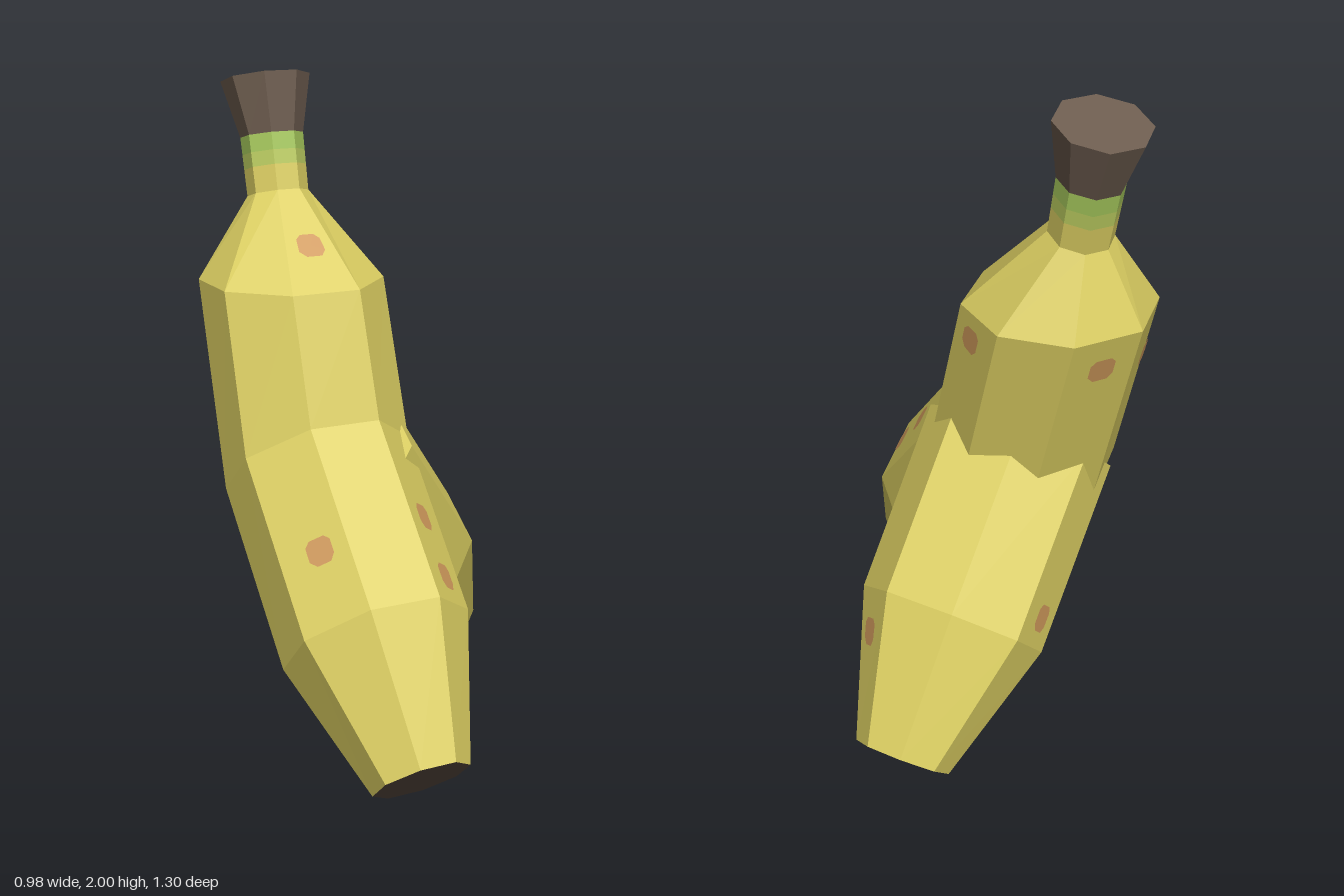
import * as THREE from 'three';

const mat = (name, color) => {
  const m = new THREE.MeshStandardMaterial({ color, flatShading: true });
  m.name = name;
  return m;
};

// Octagonal ring, given by its front and back points as [z, y]
const ring = (fz, fy, bz, by) => ({ f: new THREE.Vector2(fz, fy), b: new THREE.Vector2(bz, by) });
const mix = (p, q, t) => ({ f: p.f.clone().lerp(q.f, t), b: p.b.clone().lerp(q.b, t) });

// Corner k lies between face k - 1 and face k; face 0 is the front, face 2 is +x
function corner(r, k) {
  const a = (k - 0.5) * Math.PI / 4;
  const c = r.f.clone().add(r.b).multiplyScalar(0.5);
  const half = r.f.clone().sub(r.b).multiplyScalar(0.5);
  const s = 1 / Math.cos(Math.PI / 8);
  return new THREE.Vector3(Math.sin(a) * s * half.length(),
    c.y + half.y * Math.cos(a) * s, c.x + half.x * Math.cos(a) * s);
}

function meshFrom(points, material, name) {
  const g = new THREE.BufferGeometry().setFromPoints(points);
  g.computeVertexNormals();
  const m = new THREE.Mesh(g, material);
  m.name = name;
  return m;
}

// Skin over successive rings
function loft(rings, material, name) {
  const pts = [];
  for (let i = 0; i < rings.length - 1; i++) {
    for (let k = 0; k < 8; k++) {
      const a = corner(rings[i], k), b = corner(rings[i], k + 1);
      const c = corner(rings[i + 1], k + 1), d = corner(rings[i + 1], k);
      pts.push(a, b, c, a, c, d);
    }
  }
  return meshFrom(pts, material, name);
}

// Flat end; up = true faces along the stem
function cap(r, up, material, name) {
  const pts = [];
  for (let k = 1; k < 7; k++) {
    const b = corner(r, k), c = corner(r, k + 1);
    pts.push(corner(r, 0), ...(up ? [b, c] : [c, b]));
  }
  return meshFrom(pts, material, name);
}

// Thin blemish with clipped corners, lying on one face of a segment
const SPOT = [[-1, -0.5], [-0.5, -1], [0.6, -1], [1, -0.5], [1, 0.6], [0.6, 1], [-0.6, 1], [-1, 0.6]];
function spot(rings, [face, seg, u, t], material) {
  const at = (x, y) => {
    const lo = corner(rings[seg], face).lerp(corner(rings[seg], face + 1), x);
    const hi = corner(rings[seg + 1], face).lerp(corner(rings[seg + 1], face + 1), x);
    return lo.lerp(hi, y);
  };
  const o = at(u, t);
  const du = 0.04 / at(0, t).distanceTo(at(1, t));
  const dt = 0.04 / at(u, 0).distanceTo(at(u, 1));
  const n = at(u + du, t).sub(o).cross(at(u, t + dt).sub(o)).setLength(0.006);
  const rim = SPOT.map(([x, y]) => at(u + x * du, t + y * dt).add(n));
  const pts = [];
  rim.forEach((p, i) => pts.push(o.clone().add(n), p, rim[(i + 1) % rim.length]));
  return meshFrom(pts, material, 'spot');
}

export function createModel() {
  const yellow = mat('peel yellow', 0xdccf62);
  const lime = mat('lime fade', 0xbccd60);
  const green = mat('stem green', 0xa6c95c);
  const brown = mat('stem brown', 0x6f5e50);
  const dark = mat('tip brown', 0x5c4e43);
  const blush = mat('spot tan', 0xd09a5c);

  // Tip, lower belly, bend, shoulder, neck, neck top, stem end
  const R = [
    ring(0.66, 0.18, 0.46, 0.0),
    ring(0.46, 0.59, 0.08, 0.23),
    ring(0.07, 1.01, -0.34, 0.67),
    ring(-0.05, 1.38, -0.57, 1.38),
    ring(-0.32, 1.65, -0.487, 1.605),
    ring(-0.357, 1.82, -0.53, 1.78),
    ring(-0.365, 2.0, -0.61, 1.94),
  ];
  const fade = mix(R[4], R[5], 0.45), top = mix(R[4], R[5], 0.7);

  // Whole fruit
  const whole = new THREE.Group();
  whole.name = 'wholeFruit';
  whole.add(
    loft([...R.slice(0, 5), fade], yellow, 'peel'),
    loft([fade, top], lime, 'neckFade'),
    loft([top, R[5]], green, 'neckGreen'),
    loft([R[5], R[6]], brown, 'stem'),
    cap(R[6], true, brown, 'stemEnd'),
    cap(R[0], false, dark, 'tip'),
  );
  // Each spot: face, segment, position across, position along
  [[0, 3, 0.5, 0.44], [2, 2, 0.45, 0.85], [1, 1, 0.4, 0.47], [1, 1, 0.45, 0.14],
    [7, 1, 0.6, 0.38], [4, 2, 0.5, 0.85], [5, 2, 0.65, 0.75],
  ].forEach((s) => whole.add(spot(R, s, blush)));
  whole.position.x = -0.218;

  // Lower half of a second fruit, leaning out from the bend of the first
  const half = new THREE.Group();
  half.name = 'halfFruit';
  half.add(
    loft(R.slice(0, 3), yellow, 'halfPeel'),
    cap(R[2], true, yellow, 'hiddenEnd'),
    cap(R[0], false, dark, 'halfTip'),
  );
  [[7, 0, 0.5, 0.72], [2, 1, 0.5, 0.15]].forEach((s) => half.add(spot(R, s, blush)));
  const turn = 2.14;
  half.rotation.y = turn;
  half.position.set(0.136 - 0.27 * Math.sin(turn), 0, -0.345 - 0.27 * Math.cos(turn));

  const model = new THREE.Group();
  model.name = 'fruitPair';
  model.add(whole, half);
  return model;
}
